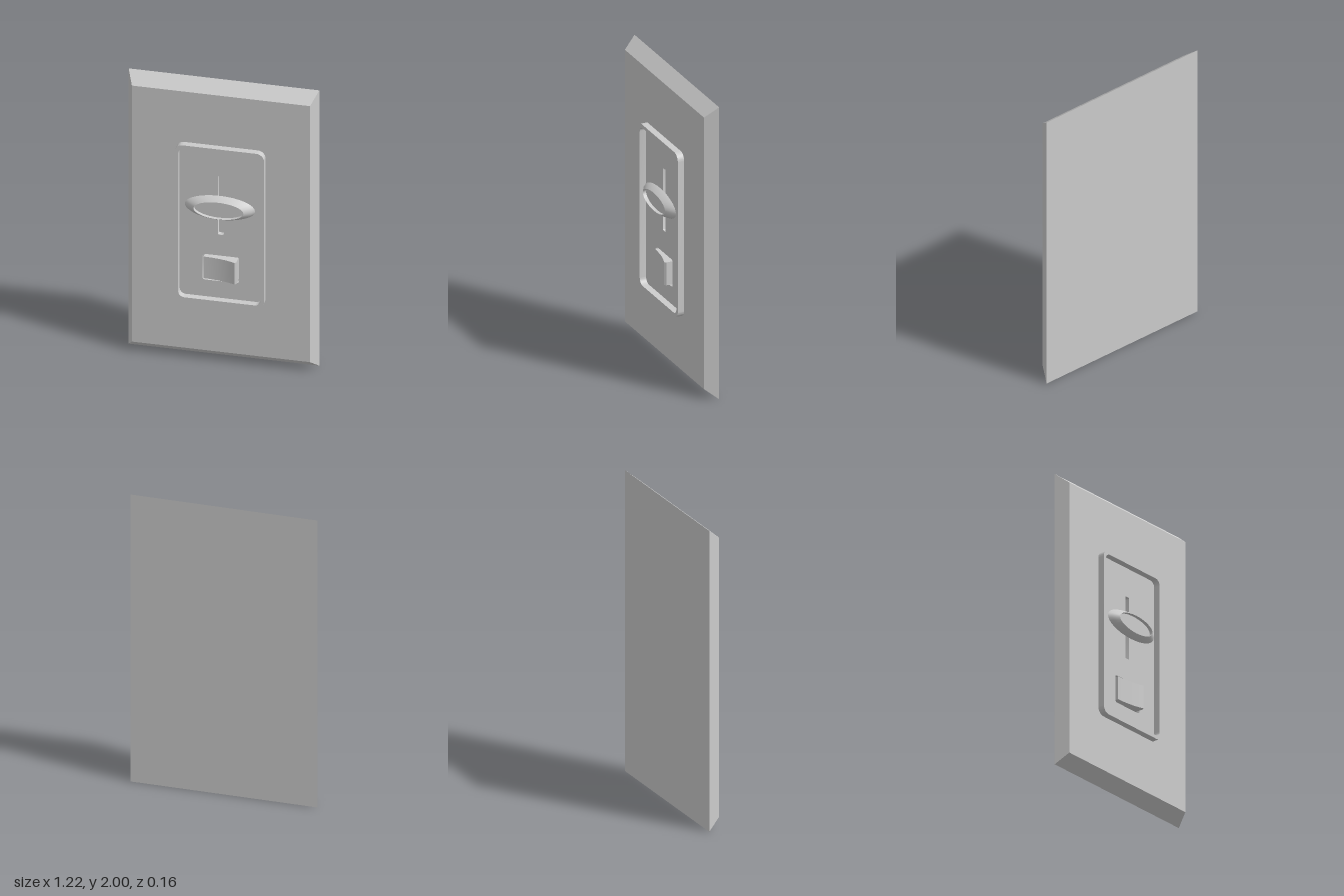
import * as THREE from 'three';
import { toCreasedNormals } from 'three/addons/utils/BufferGeometryUtils.js';

const material = new THREE.MeshStandardMaterial({ color: 0xcccccc });

// Rounded rectangle outline centred on (0, cy)
function roundRect(Type, w, h, r, cy) {
  const p = new Type(), x = w / 2, y0 = cy - h / 2, y1 = cy + h / 2;
  p.moveTo(-x + r, y0);
  p.lineTo(x - r, y0);
  p.absarc(x - r, y0 + r, r, -Math.PI / 2, 0);
  p.lineTo(x, y1 - r);
  p.absarc(x - r, y1 - r, r, 0, Math.PI / 2);
  p.lineTo(-x + r, y1);
  p.absarc(-x + r, y1 - r, r, Math.PI / 2, Math.PI);
  p.lineTo(-x, y0 + r);
  p.absarc(-x + r, y0 + r, r, Math.PI, Math.PI * 1.5);
  return p;
}

function extrude(shape, z0, z1, holes = []) {
  shape.holes.push(...holes);
  const geo = new THREE.ExtrudeGeometry(shape, { depth: z1 - z0, bevelEnabled: false, curveSegments: 6 });
  return geo.translate(0, 0, z0);
}

// One layer of the wall plate, its rim sloping inward towards the front
function plateLayer(z0, z1, holes) {
  const rect = new THREE.Shape([[-0.61, 0], [0.61, 0], [0.61, 2], [-0.61, 2]].map(([x, y]) => new THREE.Vector2(x, y)));
  const geo = extrude(rect, z0, z1, holes);
  const p = geo.attributes.position;
  for (let i = 0; i < p.count; i++) {
    if (Math.abs(p.getX(i)) < 0.6) continue;
    const t = (p.getZ(i) + 0.08) / 0.086;
    p.setX(i, p.getX(i) - Math.sign(p.getX(i)) * 0.04 * t);
    p.setY(i, p.getY(i) + (p.getY(i) < 1 ? 0.07 : -0.07) * t);
  }
  return geo;
}

export function createModel() {
  const group = new THREE.Group();
  const add = (name, geo, crease = 0.6) => {
    const mesh = new THREE.Mesh(toCreasedNormals(geo, crease), material);
    mesh.name = name;
    group.add(mesh);
  };

  // Plate: solid back, front layer pierced for the slider slot and the switch
  add('plateBack', plateLayer(-0.08, -0.025, []));
  add('plateFront', plateLayer(-0.025, 0.006, [
    roundRect(THREE.Path, 0.036, 0.425, 0.006, 1.133),
    roundRect(THREE.Path, 0.236, 0.186, 0.016, 0.676),
  ]));

  // Raised frame around the controls
  add('frame', extrude(roundRect(THREE.Shape, 0.57, 1.125, 0.05, 1.0025), 0.006, 0.05,
    [roundRect(THREE.Path, 0.528, 1.08, 0.04, 1.0025)]));

  // Oval slider knob with a dished face, on a stem in the slot
  const profile = [[0, 0.034], [0.225, 0.034], [0.207, 0.052], [0.16, 0.079], [0.16, 0.056], [0, 0.056]];
  const knob = new THREE.LatheGeometry(profile.map(([r, z]) => new THREE.Vector2(r, z)), 32);
  knob.rotateX(Math.PI / 2).scale(1, 0.378, 1).translate(0, 1.135, 0);
  add('sliderKnob', knob);
  add('sliderStem', new THREE.BoxGeometry(0.03, 0.08, 0.062).translate(0, 1.135, 0.006));

  // Rocker switch with a concave face rising to one side
  const side = new THREE.Shape();
  side.moveTo(-0.108, -0.025);
  side.lineTo(0.108, -0.025);
  side.lineTo(0.108, 0.045);
  side.lineTo(0.098, 0.055);
  side.quadraticCurveTo(0.01, 0.022, -0.108, 0.02);
  side.closePath();
  const rocker = new THREE.ExtrudeGeometry(side, { depth: 0.157, bevelEnabled: false, curveSegments: 10 });
  rocker.rotateX(Math.PI / 2).translate(0, 0.757, 0);
  add('rockerSwitch', rocker);

  return group;
}
